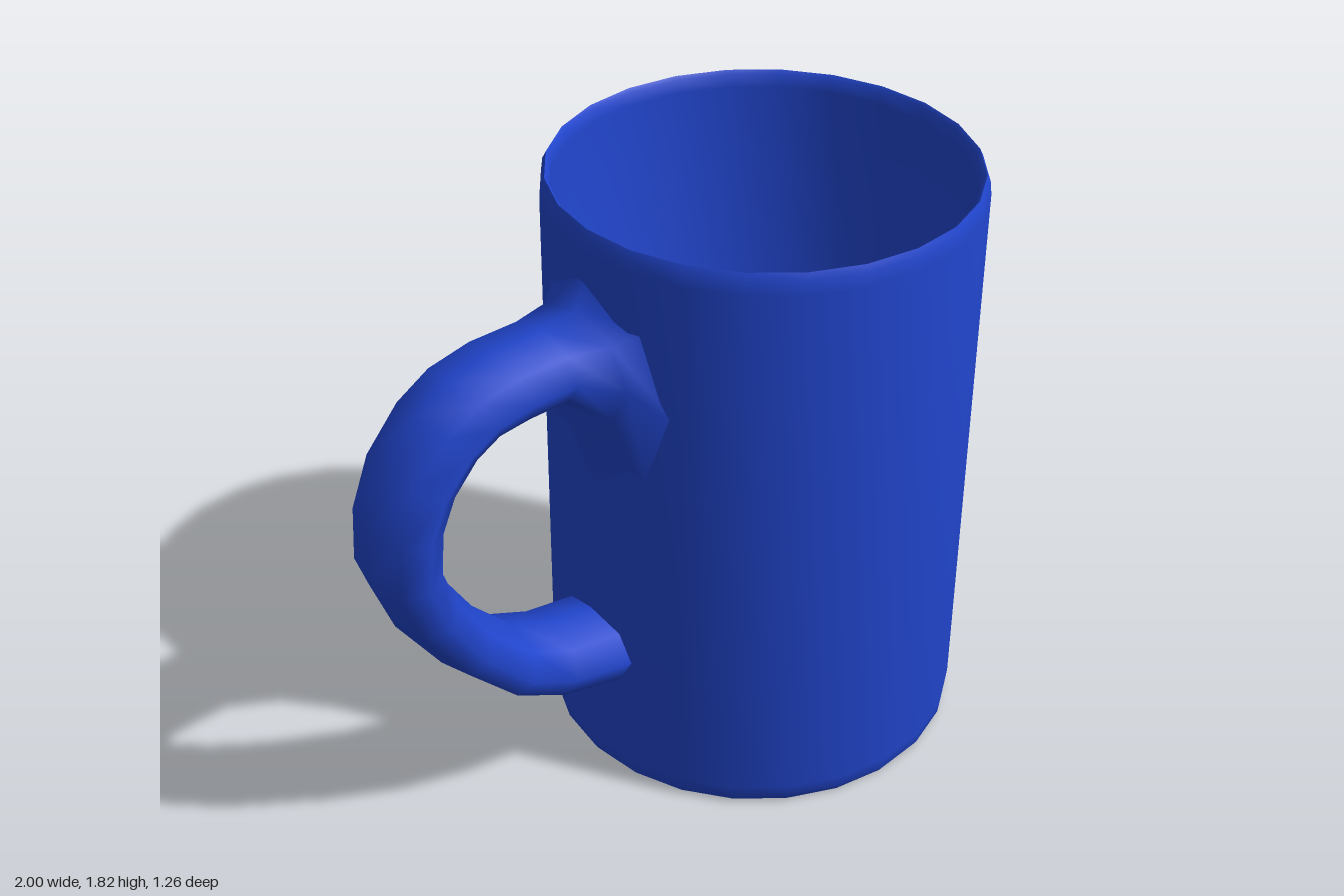
import * as THREE from 'three';
import { toCreasedNormals } from 'three/addons/utils/BufferGeometryUtils.js';

// Handle rings from the top joint round to the bottom joint:
// [outer x, outer y, inner x, inner y, half width, how far the sides wrap round the cup]
const RINGS = [
  [-0.25, 1.70, -0.25, 0.93, 0.30, 0.08],
  [-0.295, 1.59, -0.29, 1.26, 0.21, 0.01],
  [-0.41, 1.57, -0.41, 1.375, 0.165, 0],
  [-0.57, 1.565, -0.53, 1.37, 0.165, 0],
  [-0.71, 1.53, -0.62, 1.36, 0.165, 0],
  [-0.82, 1.46, -0.69, 1.32, 0.165, 0],
  [-0.93, 1.33, -0.76, 1.24, 0.165, 0],
  [-0.99, 1.17, -0.80, 1.15, 0.165, 0],
  [-1.00, 1.00, -0.81, 1.03, 0.165, 0],
  [-0.93, 0.82, -0.77, 0.91, 0.165, 0],
  [-0.79, 0.62, -0.68, 0.77, 0.165, 0],
  [-0.63, 0.46, -0.54, 0.63, 0.165, 0],
  [-0.46, 0.37, -0.41, 0.58, 0.165, 0],
  [-0.25, 0.32, -0.25, 0.56, 0.165, 0.025],
];
const SIDES = 8;

// Loft eight-sided elliptical rings into a tube
function handleGeometry() {
  const positions = [];
  const indices = [];
  RINGS.forEach(([ox, oy, ix, iy, halfWidth, wrap], i) => {
    const cx = (ox + ix) / 2;
    const cy = (oy + iy) / 2;
    for (let j = 0; j < SIDES; j++) {
      const t = (j / SIDES) * Math.PI * 2;
      const c = Math.cos(t);
      const s = Math.sin(t);
      positions.push(cx + (ox - cx) * c + wrap * s * s, cy + (oy - cy) * c, halfWidth * s);
      if (i < RINGS.length - 1) {
        const next = (j + 1) % SIDES;
        const a = i * SIDES + j;
        const b = a + SIDES;
        const d = i * SIDES + next;
        indices.push(a, b, d, b, d + SIDES, d);
      }
    }
  });
  const geometry = new THREE.BufferGeometry();
  geometry.setAttribute('position', new THREE.Float32BufferAttribute(positions, 3));
  geometry.setIndex(indices);
  geometry.computeVertexNormals();
  return geometry;
}

// Thin-walled cup: base, outer wall, softened rim, inner wall, floor
function cupGeometry() {
  const profile = [
    [0, 0], [0.612, 0], [0.625, 0.02], [0.63, 0.06],
    [0.63, 1.76], [0.625, 1.80], [0.615, 1.82],
    [0.605, 1.81], [0.60, 1.77], [0.60, 0.08], [0.58, 0.05], [0, 0.05],
  ].map(([r, y]) => new THREE.Vector2(r, y));
  return toCreasedNormals(new THREE.LatheGeometry(profile, 24), 0.9);
}

export function createModel() {
  const material = new THREE.MeshStandardMaterial({ color: 0x2145cc });
  const mug = new THREE.Group();
  mug.name = 'mug';

  const cup = new THREE.Mesh(cupGeometry(), material);
  cup.name = 'cup';
  cup.position.x = 0.365;

  const handle = new THREE.Mesh(handleGeometry(), material);
  handle.name = 'handle';

  mug.add(cup, handle);
  return mug;
}
